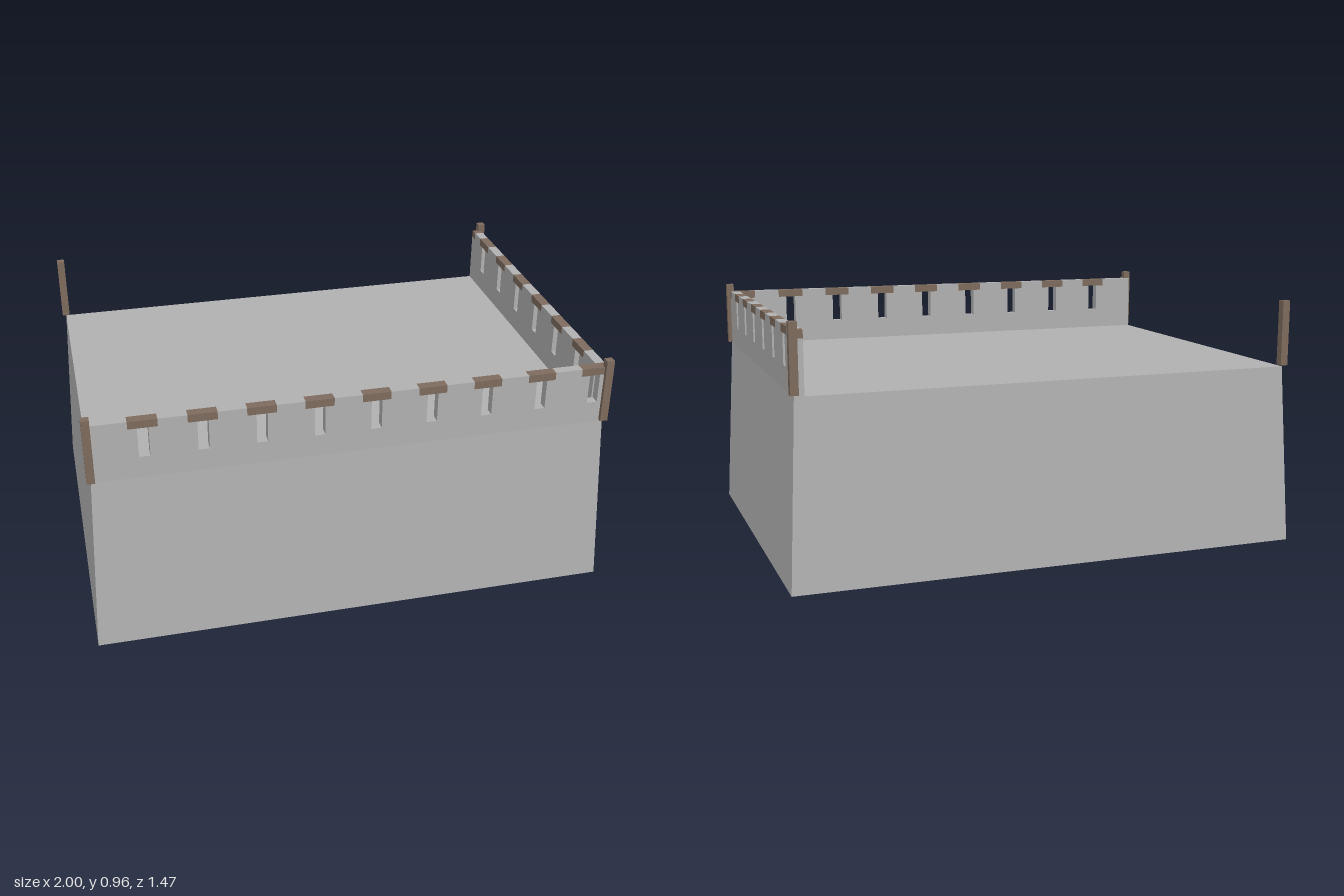
import * as THREE from 'three';

const HX = 0.965, HZ = 0.702;          // half size of the deck
const DECK = 0.7, WALL = 0.23, T = 0.037; // deck height, parapet height and thickness
const SLOT = [0.085, 0.2];             // slot bottom and lintel bottom above the deck
const LINTEL_W = 0.106, SLOT_W = 0.04, FIRST = 0.142, STEP = 0.2105;

const stone = new THREE.MeshStandardMaterial({ color: 0xb0b0b0, side: THREE.DoubleSide });
stone.name = 'grey stone';
const wood = new THREE.MeshStandardMaterial({ color: 0x7d6b5d });
wood.name = 'brown wood';

function add(parent, name, geometry, material, x = 0, y = 0, z = 0) {
  const mesh = new THREE.Mesh(geometry, material);
  mesh.name = name;
  mesh.position.set(x, y, z);
  parent.add(mesh);
  return mesh;
}

// Tapered block with a deck on top and an open underside
function baseGeometry() {
  const g = new THREE.BoxGeometry(2, DECK, 1.47);
  g.translate(0, DECK / 2, 0);
  const p = g.attributes.position;
  for (let i = 0; i < p.count; i++) {
    if (p.getY(i) > 0.1) {
      p.setX(i, Math.sign(p.getX(i)) * HX);
      p.setZ(i, Math.sign(p.getZ(i)) * HZ);
    }
  }
  const index = Array.from(g.index.array);
  index.splice(18, 6); // drop the bottom face
  g.setIndex(index);
  g.clearGroups();
  g.computeVertexNormals();
  return g;
}

// Parapet along local +x: T-shaped notches hold a slot with a lintel over it
function parapet(name, start, end, slots, endLintel) {
  const group = new THREE.Group();
  group.name = name;
  const openings = [];
  for (let i = 0; i < slots; i++) {
    const a = FIRST + i * STEP;
    openings.push({ a, b: Math.min(a + LINTEL_W, end), mid: a + LINTEL_W / 2 });
  }
  if (endLintel) openings.push({ a: end - endLintel, b: end });

  const shape = new THREE.Shape();
  shape.moveTo(start, 0);
  shape.lineTo(end, 0);
  if (openings[openings.length - 1].b < end) shape.lineTo(end, WALL);
  for (const { a, b, mid } of [...openings].reverse()) {
    if (b < end) shape.lineTo(b, WALL);
    shape.lineTo(b, SLOT[1]);
    if (mid) {
      shape.lineTo(mid + SLOT_W / 2, SLOT[1]);
      shape.lineTo(mid + SLOT_W / 2, SLOT[0]);
      shape.lineTo(mid - SLOT_W / 2, SLOT[0]);
      shape.lineTo(mid - SLOT_W / 2, SLOT[1]);
    }
    shape.lineTo(a, SLOT[1]);
    shape.lineTo(a, WALL);
  }
  shape.lineTo(start, WALL);
  const wall = new THREE.ExtrudeGeometry(shape, { depth: T, bevelEnabled: false });
  add(group, 'parapetWall', wall, stone);

  for (const { a, b } of openings) {
    const h = WALL - SLOT[1];
    add(group, 'lintel', new THREE.BoxGeometry(b - a, h, T), wood, (a + b) / 2, SLOT[1] + h / 2, T / 2);
  }
  return group;
}

export function createModel() {
  const model = new THREE.Group();
  model.name = 'wallCorner';

  add(model, 'base', baseGeometry(), stone);

  // Front parapet, full width
  const front = parapet('frontParapet', 0, HX * 2, 9, 0);
  front.position.set(-HX, DECK, HZ - T);
  model.add(front);

  // Left parapet, running back from the front one
  const side = parapet('leftParapet', T, HZ * 2, 6, T);
  side.rotation.y = Math.PI / 2;
  side.position.set(HX - T, DECK, HZ);
  model.add(side);

  // Corner posts
  for (const sx of [-1, 1]) {
    for (const sz of [-1, 1]) {
      add(model, 'cornerPost', new THREE.BoxGeometry(0.03, 0.254, 0.03), wood, sx * HX, 0.833, sz * HZ);
    }
  }
  return model;
}
